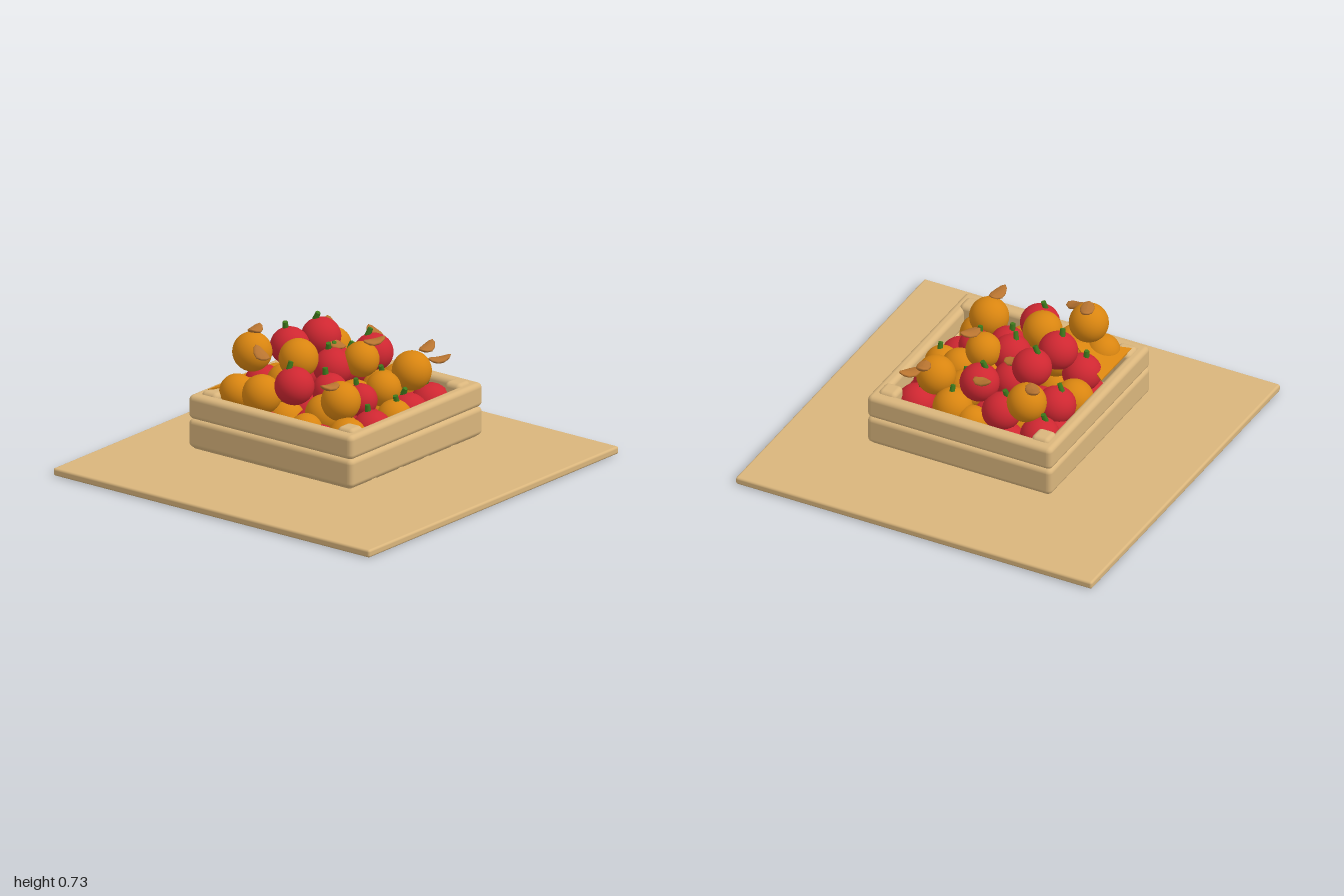
import * as THREE from 'three';
import { RoundedBoxGeometry } from 'three/addons/geometries/RoundedBoxGeometry.js';

const material = (name, color) => {
  const m = new THREE.MeshStandardMaterial({ color });
  m.name = name;
  return m;
};

export function createModel() {
  const model = new THREE.Group();
  const wood = material('wood', 0xd9b57c);
  const red = material('red skin', 0xcf2731);
  const orange = material('orange skin', 0xd98510);
  const leafBrown = material('dry leaf', 0xb87430);
  const green = material('green stem', 0x3f7a1c);

  const add = (name, geometry, mat, x, y, z) => {
    const mesh = new THREE.Mesh(geometry, mat);
    mesh.name = name;
    mesh.position.set(x, y, z);
    model.add(mesh);
    return mesh;
  };
  const block = (name, w, h, d, r, x, y, z) =>
    add(name, new RoundedBoxGeometry(w, h, d, 3, r), wood, x, y, z);

  // Ground board
  block('baseBoard', 2, 0.04, 2, 0.012, 0, 0.02, 0);

  // Crate walls: two stacked planks per side
  for (const [y, h] of [[0.2, 0.15], [0.337, 0.125]]) {
    for (const s of [-1, 1]) {
      block('crossPlank', 1.06, h, 0.065, 0.026, 0, y, s * 0.485 - 0.003);
      block('sidePlank', 0.075, h, 1.03, 0.026, s * 0.493, y, -0.003);
    }
  }
  // Corner posts
  for (const x of [-0.43, 0.43]) for (const z of [-0.43, 0.43]) {
    block('cornerPost', 0.1, 0.3, 0.1, 0.025, x, 0.265, z);
  }
  // Floor slats and the peg below them
  for (let i = -2; i <= 2; i++) block('floorSlat', 0.19, 0.035, 1.0, 0.015, i * 0.21, 0.134, -0.003);
  add('floorPeg', new THREE.ConeGeometry(0.06, 0.06, 4), wood, -0.03, 0.108, -0.02).rotation.x = Math.PI;

  // Fruit: [x, y, z, radius]
  const sphere = new THREE.SphereGeometry(1, 28, 18);
  const stemGeometry = new THREE.CylinderGeometry(0.013, 0.016, 0.045, 6);
  const redFruit = [
    [-0.04, 0.58, -0.26, 0.1], [0.16, 0.585, -0.22, 0.1], [-0.32, 0.5, -0.01, 0.1],
    [-0.15, 0.45, 0.08, 0.09], [0, 0.51, -0.02, 0.1], [0.3, 0.51, 0, 0.1],
    [-0.1, 0.42, 0.235, 0.085], [0.14, 0.46, -0.1, 0.1], [0.33, 0.4, -0.14, 0.1],
    [0.13, 0.38, -0.34, 0.1], [0.34, 0.33, -0.36, 0.1], [-0.16, 0.4, -0.33, 0.1],
    [0.15, 0.31, 0.34, 0.1], [0.34, 0.31, 0.33, 0.1], [-0.14, 0.3, 0.34, 0.1],
  ];
  const orangeFruit = [
    [-0.29, 0.61, -0.3, 0.1], [-0.16, 0.58, -0.11, 0.1], [0.09, 0.55, 0.09, 0.09],
    [0.31, 0.48, -0.27, 0.1], [-0.29, 0.47, 0.26, 0.1], [0.29, 0.47, 0.25, 0.1],
    [0.1, 0.42, 0.22, 0.09], [0, 0.33, 0.37, 0.09], [-0.34, 0.31, 0.34, 0.1],
    [0.2, 0.37, 0.13, 0.1], [0.36, 0.36, 0.12, 0.1], [0.38, 0.32, 0, 0.085],
    [0, 0.35, -0.37, 0.1], [-0.34, 0.42, -0.2, 0.1], [-0.36, 0.41, -0.34, 0.09],
    [-0.38, 0.31, 0.11, 0.085], [-0.24, 0.36, 0.12, 0.1], [0, 0.37, 0.12, 0.1],
    [-0.17, 0.44, -0.18, 0.1],
  ];
  // Lower layer filling the crate
  for (let i = -2; i <= 2; i++) for (let j = -2; j <= 2; j++) {
    if (Math.abs(i * j) === 4) continue;
    ((i + j) % 2 ? redFruit : orangeFruit).push([i * 0.18, 0.25, j * 0.18, 0.1]);
  }
  for (const [x, y, z, r] of redFruit) {
    add('redFruit', sphere, red, x, y, z).scale.set(r, r * 0.96, r);
    if (y < 0.3) continue;
    const stem = add('fruitStem', stemGeometry, green, x - 0.01, y + r * 0.96 + 0.008, z - 0.02);
    stem.rotation.set(0.2, x * 9, 0.25);
  }
  for (const [x, y, z, r] of orangeFruit) add('orangeFruit', sphere, orange, x, y, z).scale.setScalar(r);
  for (const [x, y, z] of [[0, 0.425, 0.38], [0.36, 0.465, 0.12], [0.2, 0.475, 0.13]]) {
    add('fruitStem', stemGeometry, green, x, y, z).rotation.z = 0.3;
  }

  // Curled dry leaves: a pointed blade bent along its length
  const leafGeometry = new THREE.SphereGeometry(1, 10, 8);
  leafGeometry.scale(0.06, 0.014, 0.036);
  const p = leafGeometry.attributes.position;
  for (let i = 0; i < p.count; i++) {
    const x = p.getX(i);
    p.setY(i, p.getY(i) + 5 * x * x - 0.006);
    p.setZ(i, p.getZ(i) * (1 - 4 * x));
  }
  leafGeometry.computeVertexNormals();
  // Leaves: [x, y, z, turn, tilt]
  for (const [x, y, z, turn, tilt] of [
    [-0.25, 0.715, -0.31, 0.3, 0], [-0.36, 0.64, -0.19, 1.2, 0.4], [-0.37, 0.565, 0.25, 3.0, 0.1],
    [0.12, 0.65, 0.15, -0.5, 0.1], [0.39, 0.57, 0.27, 0.2, 0.2], [0.4, 0.52, 0.34, -0.6, 0.1],
    [0.34, 0.585, -0.32, 0.7, 0.1], [0.14, 0.575, -0.11, 1.4, 0.3], [0.38, 0.58, -0.06, 1.2, 0.2],
  ]) add('dryLeaf', leafGeometry, leafBrown, x, y, z).rotation.set(0, turn, tilt);

  // Flat orange wedge lying in the back corner
  const wedge = new THREE.Shape([
    new THREE.Vector2(-0.44, 0.46), new THREE.Vector2(-0.27, 0.22), new THREE.Vector2(-0.12, 0.46),
  ]);
  const wedgeGeometry = new THREE.ExtrudeGeometry(wedge, { depth: 0.008, bevelEnabled: false });
  wedgeGeometry.rotateX(-Math.PI / 2);
  const w = wedgeGeometry.attributes.position;
  for (let i = 0; i < w.count; i++) w.setY(i, w.getY(i) + 0.41 + 0.3 * (w.getZ(i) + 0.46));
  wedgeGeometry.computeVertexNormals();
  add('orangeWedge', wedgeGeometry, orange, 0, 0, 0);

  return model;
}
